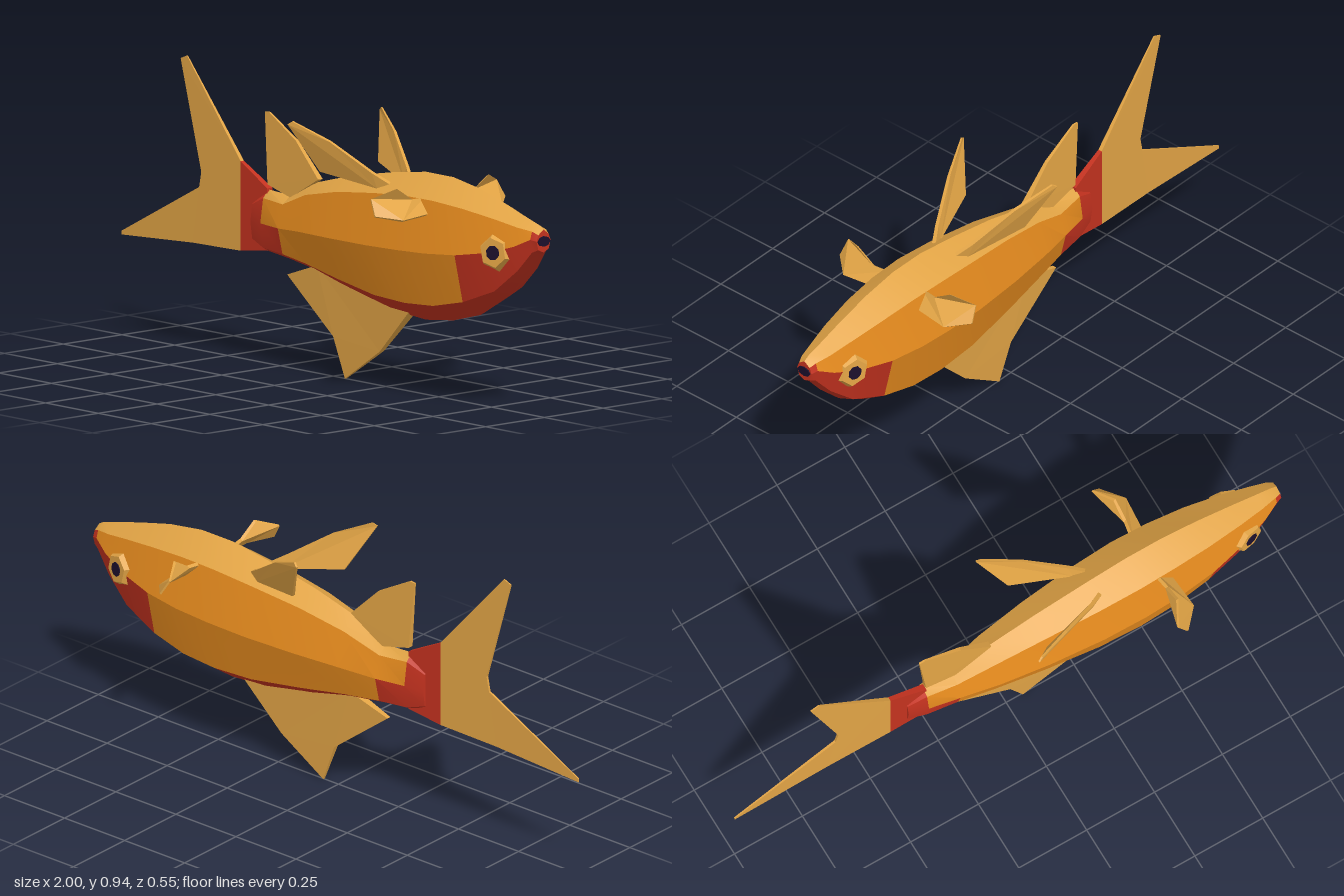
import * as THREE from 'three';
import { toCreasedNormals } from 'three/addons/utils/BufferGeometryUtils.js';

const material = (name, color) => {
  const m = new THREE.MeshStandardMaterial({ color });
  m.name = name;
  return m;
};

function addMesh(parent, name, geometry, mat) {
  const mesh = new THREE.Mesh(geometry, mat);
  mesh.name = name;
  parent.add(mesh);
  return mesh;
}

// Tapered plate from an outline of [x, y, z, thickness] corners
function finGeometry(corners) {
  const pts = corners.map(c => new THREE.Vector3(c[0], c[1], c[2]));
  const n = new THREE.Vector3();
  pts.forEach((p, i) => n.add(p.clone().cross(pts[(i + 1) % pts.length])));
  n.normalize();
  const u = new THREE.Vector3(1, 0, 0).addScaledVector(n, -n.x).normalize();
  const v = n.clone().cross(u);
  const flat = pts.map(p => new THREE.Vector2(p.dot(u), p.dot(v)));
  const front = pts.map((p, i) => p.clone().addScaledVector(n, corners[i][3] / 2));
  const back = pts.map((p, i) => p.clone().addScaledVector(n, -corners[i][3] / 2));
  const out = [];
  for (const [a, b, c] of THREE.ShapeUtils.triangulateShape(flat, [])) {
    out.push(front[a], front[b], front[c], back[a], back[c], back[b]);
  }
  pts.forEach((_, i) => {
    const j = (i + 1) % pts.length;
    out.push(back[i], back[j], front[j], back[i], front[j], front[i]);
  });
  const g = new THREE.BufferGeometry().setFromPoints(out);
  g.computeVertexNormals();
  return g;
}

// Body stations: x, ridge y, shoulder y, middle y, lower y, keel y, shoulder z, middle z
const STATIONS = [
  [-0.37, 0.52, 0.505, 0.45, 0.395, 0.385, 0.012, 0.02],
  [-0.305, 0.56, 0.535, 0.455, 0.375, 0.362, 0.024, 0.036],
  [-0.20, 0.555, 0.53, 0.455, 0.37, 0.35, 0.036, 0.056],
  [-0.07, 0.615, 0.58, 0.465, 0.36, 0.33, 0.056, 0.085],
  [0.10, 0.66, 0.615, 0.47, 0.335, 0.288, 0.073, 0.109],
  [0.29, 0.695, 0.638, 0.475, 0.31, 0.25, 0.087, 0.126],
  [0.44, 0.716, 0.65, 0.48, 0.305, 0.24, 0.092, 0.13],
  [0.57, 0.716, 0.65, 0.485, 0.312, 0.255, 0.088, 0.126],
  [0.70, 0.695, 0.64, 0.495, 0.34, 0.29, 0.078, 0.113],
  [0.83, 0.66, 0.622, 0.517, 0.39, 0.365, 0.06, 0.087],
  [0.92, 0.632, 0.605, 0.545, 0.465, 0.45, 0.043, 0.06],
  [0.975, 0.616, 0.598, 0.572, 0.53, 0.515, 0.03, 0.038],
  [0.996, 0.604, 0.588, 0.568, 0.54, 0.53, 0.022, 0.03],
];

// Eight-sided loft, its panels sorted by colour
function bodyGeometry() {
  const rings = STATIONS.map(([x, top, sh, mid, low, keel, sz, mz]) => [
    [top, 0], [sh, sz], [mid, mz], [low, sz], [keel, 0], [low, -sz], [mid, -mz], [sh, -sz],
  ].map(([y, z]) => new THREE.Vector3(x, y, z)));
  const buckets = [[], [], []]; // tan, orange, red
  const last = rings.length - 1;
  for (let i = 0; i < last; i++) {
    for (let j = 0; j < 8; j++) {
      const k = (j + 1) % 8;
      const band = Math.min(j, 7 - j); // 0 back, 1 upper side, 2 lower side, 3 belly
      const red = band === 3 || i === 0 || (band === 2 && (i === 1 || i >= 8))
        || (band === 1 && i === last - 1);
      const [a, b, c, d] = [rings[i][j], rings[i][k], rings[i + 1][k], rings[i + 1][j]];
      buckets[red ? 2 : band === 0 ? 0 : 1].push(a, b, c, a, c, d);
    }
  }
  for (let j = 1; j < 7; j++) {
    buckets[2].push(rings[0][0], rings[0][j + 1], rings[0][j]);
    buckets[2].push(rings[last][0], rings[last][j], rings[last][j + 1]);
  }
  const g = toCreasedNormals(new THREE.BufferGeometry().setFromPoints(buckets.flat()), 0.4);
  let start = 0;
  buckets.forEach((b, i) => {
    g.addGroup(start, b.length, i);
    start += b.length;
  });
  return g;
}

export function createModel() {
  const tan = material('tan', 0xe2a445);
  const orange = material('orange', 0xe68b1e);
  const red = material('red', 0xc4321f);
  const dark = material('dark', 0x1b0f2c);
  const fish = new THREE.Group();
  fish.name = 'fish';

  addMesh(fish, 'body', bodyGeometry(), [tan, orange, red]);

  // Tail: red root and forked blade
  addMesh(fish, 'tailRoot', finGeometry([
    [-0.30, 0.565, 0, 0.022], [-0.43, 0.635, 0, 0.014],
    [-0.43, 0.347, 0, 0.014], [-0.30, 0.365, 0, 0.022],
  ]), red);
  addMesh(fish, 'tailFin', finGeometry([
    [-0.43, 0.635, 0, 0.014], [-0.69, 0.94, 0, 0.004], [-0.72, 0.928, 0, 0.004],
    [-0.62, 0.575, 0, 0.008], [-0.63, 0.525, 0, 0.008], [-1, 0.335, 0, 0.004],
    [-1, 0.323, 0, 0.004], [-0.66, 0.342, 0, 0.008], [-0.43, 0.347, 0, 0.014],
  ]), tan);

  // Single fins on the midline
  addMesh(fish, 'dorsalFin', finGeometry([
    [-0.06, 0.625, 0, 0.02], [-0.17, 0.735, 0, 0.012], [-0.30, 0.81, 0, 0.006],
    [-0.32, 0.808, 0, 0.006], [-0.30, 0.578, 0, 0.02], [-0.19, 0.55, 0, 0.022],
  ]), tan);
  addMesh(fish, 'analFin', finGeometry([
    [-0.06, 0.35, 0, 0.03], [-0.21, 0.30, 0, 0.014], [0.01, 0.13, 0, 0.018],
    [0.06, 0, 0, 0.008], [0.23, 0.11, 0, 0.018], [0.38, 0.26, 0, 0.036],
    [0.20, 0.30, 0, 0.036],
  ]), tan);

  // Paired fins and eyes
  for (const [side, s] of [['left', 1], ['right', -1]]) {
    const mirrored = list => list.map(([x, y, z, t]) => [x, y, z * s, t]);
    addMesh(fish, side + 'BackFin', finGeometry(mirrored([
      [0.005, 0.835, 0.197, 0.006], [0.02, 0.845, 0.19, 0.006], [0.14, 0.79, 0.138, 0.01],
      [0.27, 0.70, 0.075, 0.012], [0.32, 0.668, 0.045, 0.014], [0.28, 0.65, 0.06, 0.014],
      [0.08, 0.685, 0.125, 0.01],
    ])), tan);
    addMesh(fish, side + 'SideFin', finGeometry(mirrored([
      [0.505, 0.648, 0.07, 0.012], [0.515, 0.65, 0.13, 0.012], [0.515, 0.692, 0.195, 0.01],
      [0.475, 0.663, 0.267, 0.006], [0.505, 0.612, 0.277, 0.006], [0.563, 0.598, 0.21, 0.01],
      [0.55, 0.605, 0.07, 0.012],
    ])), tan);

    const eye = new THREE.Group();
    eye.name = side + 'Eye';
    eye.position.set(0.848, 0.519, 0.074 * s);
    eye.quaternion.setFromUnitVectors(
      new THREE.Vector3(0, 1, 0), new THREE.Vector3(0.3, 0.06, 0.95 * s).normalize());
    const ring = new THREE.CylinderGeometry(0.048, 0.064, 0.026, 6, 1, false, Math.PI / 6)
      .toNonIndexed();
    ring.computeVertexNormals();
    addMesh(eye, 'eyeRing', ring, tan);
    const pupil = addMesh(eye, 'pupil', new THREE.CylinderGeometry(0.024, 0.024, 0.004, 8), dark);
    pupil.position.y = 0.014;
    fish.add(eye);
  }

  // Mouth plate on the snout
  const mouth = addMesh(fish, 'mouth', new THREE.CylinderGeometry(0.026, 0.026, 0.006, 8), dark);
  mouth.rotation.z = -Math.PI / 2;
  mouth.scale.x = 0.65;
  mouth.position.set(0.997, 0.566, 0);
  return fish;
}
